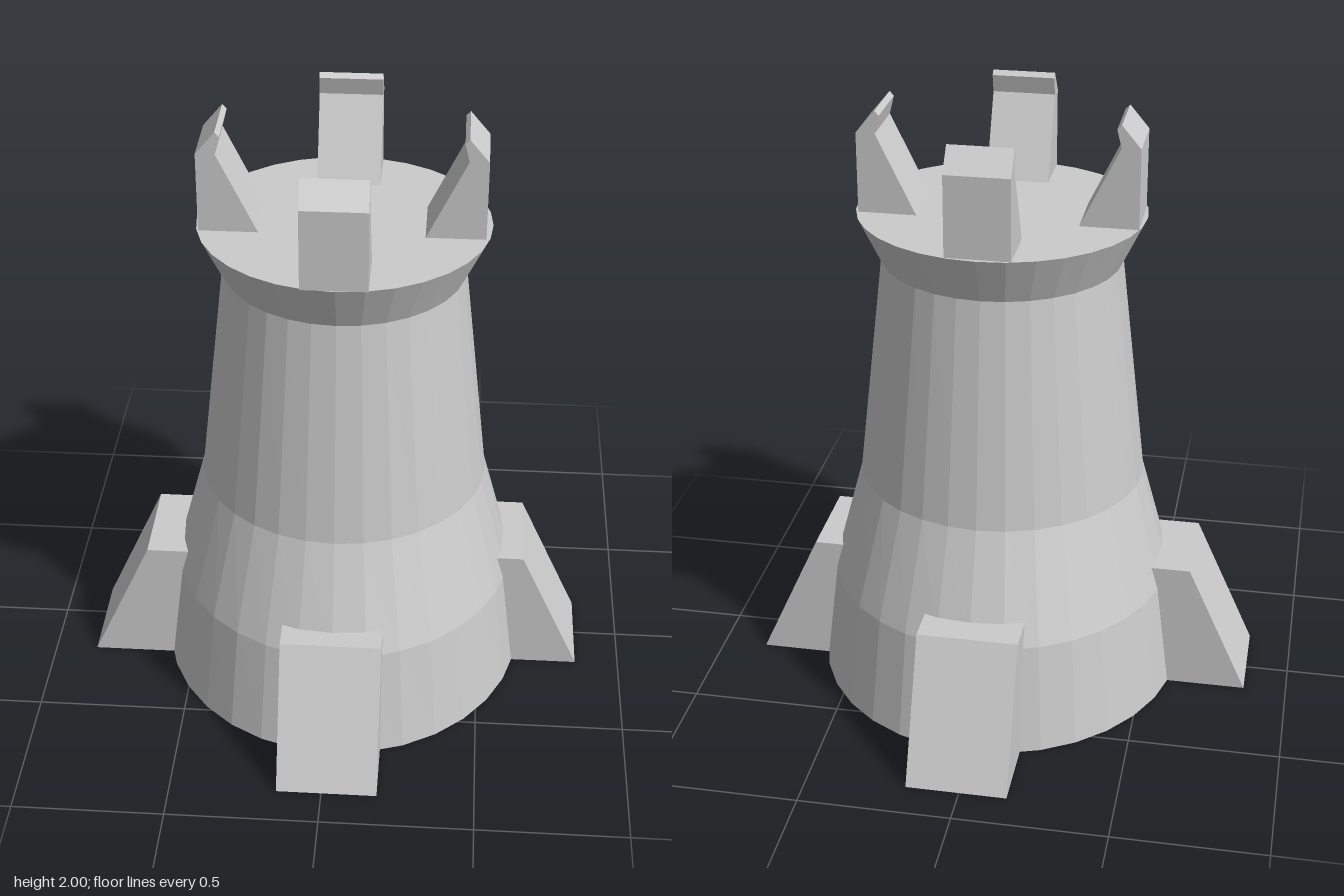
import * as THREE from 'three';

const material = new THREE.MeshStandardMaterial({ color: 0xcccccc, flatShading: true });
const CENTRE = { x: 0.018, z: 0.013 };

// Slightly oval tower; each ring is [y, x radius, z radius]
function tower() {
  const rings = [
    [0, 0, 0], [0, 0.624, 0.667], [0.37, 0.58, 0.612], [0.735, 0.482, 0.478],
    [1.5, 0.395, 0.385], [1.66, 0.472, 0.455], [1.66, 0, 0],
  ];
  const geo = new THREE.LatheGeometry(rings.map(([y, rx]) => new THREE.Vector2(rx, y)), 32);
  const pos = geo.attributes.position;
  for (let i = 0; i < pos.count; i++) {
    const [, rx, rz] = rings[i % rings.length];
    if (rx > 0) pos.setZ(i, pos.getZ(i) * rz / rx);
  }
  const flat = geo.toNonIndexed();
  flat.computeVertexNormals();
  const mesh = new THREE.Mesh(flat, material);
  mesh.name = 'tower';
  mesh.position.set(CENTRE.x, 0, CENTRE.z);
  return mesh;
}

// Radial block: profile of [radius, y] extruded sideways, then turned about y
function radialBlock(name, profile, width, angle, x, z) {
  const shape = new THREE.Shape(profile.map(([r, y]) => new THREE.Vector2(r, y)));
  const geo = new THREE.ExtrudeGeometry(shape, { depth: width, bevelEnabled: false });
  geo.translate(0, 0, -width / 2);
  const mesh = new THREE.Mesh(geo, material);
  mesh.name = name;
  mesh.rotation.y = angle;
  mesh.position.set(x, 0, z);
  return mesh;
}

// Sloping foot with a flat top
const buttress = (foot, top) => [[0.5, 0], [foot, 0], [top, 0.45], [0.5, 0.45]];

// Battlement tooth with a sloping inner face and a hooked tip
const tooth = (outer) => [
  [outer - 0.19, 1.66], [outer, 1.66], [outer, 1.925], [outer - 0.063, 2],
  [outer - 0.077, 1.985], [outer - 0.062, 1.925],
];

export function createModel() {
  const group = new THREE.Group();
  group.name = 'castleTower';
  group.add(tower());

  const sides = [
    { side: 'left', angle: 0, foot: 0.853, top: 0.648, outer: 0.453, x: -0.003, z: -0.002 },
    { side: 'right', angle: Math.PI, foot: 0.853, top: 0.648, outer: 0.453, x: -0.003, z: 0.035 },
    { side: 'front', angle: -Math.PI / 2, foot: 0.872, top: 0.663, outer: 0.445, x: 0.017, z: 0 },
    { side: 'back', angle: Math.PI / 2, foot: 0.872, top: 0.667, outer: 0.445, x: 0.01, z: 0 },
  ];
  for (const s of sides) {
    group.add(radialBlock(s.side + 'Buttress', buttress(s.foot, s.top), 0.33, s.angle, s.x, s.z));
    group.add(radialBlock(s.side + 'Battlement', tooth(s.outer), 0.208, s.angle, 0.015, s.side === 'front' || s.side === 'back' ? 0.018 : 0.007));
  }
  return group;
}
